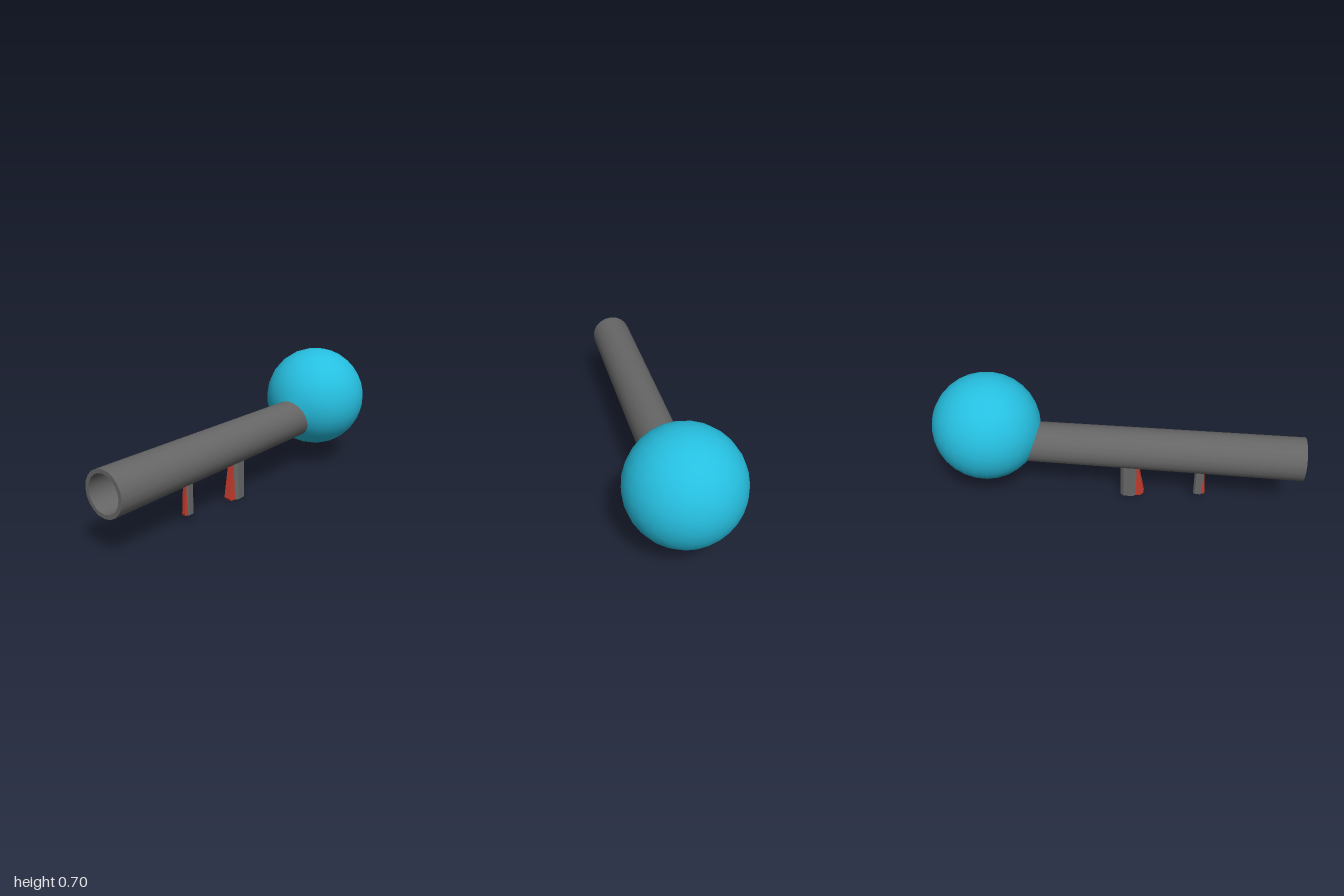
import * as THREE from 'three';
import { toCreasedNormals } from 'three/addons/utils/BufferGeometryUtils.js';

const material = (color) => new THREE.MeshStandardMaterial({ color });

function addMesh(group, name, geometry, mat) {
  const mesh = new THREE.Mesh(geometry, mat);
  mesh.name = name;
  group.add(mesh);
  return mesh;
}

const points = (list) => list.map(([x, y]) => new THREE.Vector2(x, y));

// Upright post with chamfered corners, from height y0 up to y1
function postGeometry(halfX, flatX, back, front, chamfer, y0, y1) {
  const outline = [
    [-flatX, -front], [flatX, -front], [halfX, chamfer - front], [halfX, -back - chamfer],
    [flatX, -back], [-flatX, -back], [-halfX, -back - chamfer], [-halfX, chamfer - front],
  ];
  const geo = new THREE.ExtrudeGeometry(new THREE.Shape(points(outline)), {
    depth: y1 - y0, bevelEnabled: false,
  });
  return geo.rotateX(-Math.PI / 2).translate(0, y0, 0);
}

// Slanted wedge from a (z, y) side profile, narrowing towards its front
function wedgeGeometry(profile, halfBack, halfFront) {
  const geo = new THREE.ExtrudeGeometry(new THREE.Shape(points(profile)), {
    depth: 2, bevelEnabled: false,
  });
  geo.translate(0, 0, -1).rotateY(-Math.PI / 2);
  const backZ = profile[0][0];
  const p = geo.attributes.position;
  for (let i = 0; i < p.count; i++) {
    p.setX(i, p.getX(i) * (p.getZ(i) > backZ + 0.001 ? halfFront : halfBack));
  }
  geo.computeVertexNormals();
  return geo;
}

export function createModel() {
  const model = new THREE.Group();
  const grey = material(0x666666);
  const blue = material(0x26bfe0);
  const red = material(0xc0392b);

  // Hollow, slightly tapered tube with an open front end
  const tubeProfile = points([
    [0.089, -0.495], [0.111, -0.495], [0.117, 1], [0.096, 1], [0.089, -0.495],
  ]);
  const tubeGeo = toCreasedNormals(new THREE.LatheGeometry(tubeProfile, 20), 0.6);
  const tube = addMesh(model, 'tube', tubeGeo.rotateX(Math.PI / 2), grey);
  tube.position.y = 0.323;
  tube.rotation.x = -0.004;

  // Hollow bulb whose opening points down the tube
  const bulb = new THREE.Group();
  bulb.name = 'bulb';
  bulb.position.set(0, 0.408, -0.708);
  bulb.rotation.x = Math.PI / 2 + 0.235;
  model.add(bulb);
  const shell = [];
  const steps = 14;
  const opening = 0.29;
  const arc = (r, t) => {
    const a = Math.PI + (opening - Math.PI) * t;
    shell.push(new THREE.Vector2(Math.max(0, r * Math.sin(a)), r * Math.cos(a)));
  };
  for (let i = 0; i <= steps; i++) arc(0.292, i / steps);
  for (let i = steps; i >= 0; i--) arc(0.285, i / steps);
  addMesh(bulb, 'bulbShell', toCreasedNormals(new THREE.LatheGeometry(shell, 28), 0.8), blue);

  // Eight-sided lip around the opening
  const lip = points([[0.1, 0.269], [0.075, 0.281], [0.075, 0.266]]);
  addMesh(bulb, 'bulbLip', toCreasedNormals(new THREE.LatheGeometry(lip, 8), 0.3), blue);

  // Rear grip with its red front
  addMesh(model, 'rearGrip', postGeometry(0.032, 0.018, 0.027, 0.115, 0.018, 0, 0.222), grey);
  addMesh(model, 'rearGripFront', wedgeGeometry(
    [[0.1, 0], [0.14, 0], [0.157, 0.02], [0.12, 0.222], [0.1, 0.222]], 0.022, 0.016), red);

  // Smaller front grip with its red front
  addMesh(model, 'frontGrip', postGeometry(0.018, 0.01, 0.435, 0.484, 0.01, 0.04, 0.222), grey);
  addMesh(model, 'frontGripFront', wedgeGeometry(
    [[0.475, 0.04], [0.495, 0.04], [0.499, 0.052], [0.486, 0.222], [0.475, 0.222]], 0.014, 0.009), red);

  return model;
}
